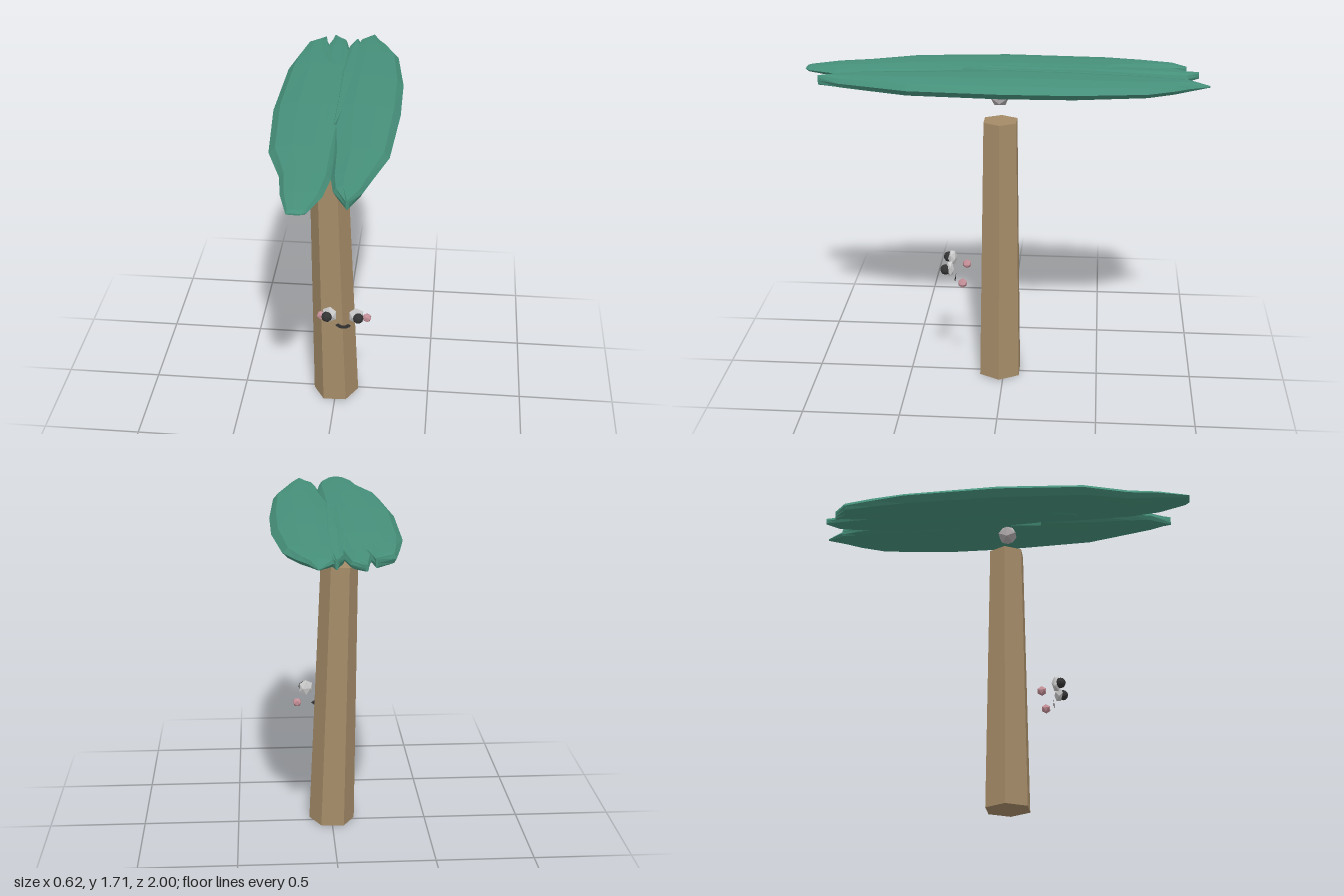
import * as THREE from 'three';

const mat = (color, side = THREE.FrontSide) =>
  new THREE.MeshStandardMaterial({ color, flatShading: true, side });

// Leaf lobe lofted through stations [z, xMin, xMax], front to back
function lobeGeometry(stations, lift = 0) {
  const sides = 10, pos = [], index = [];
  for (const [z, x0, x1] of stations) {
    const h = 0.004 + 0.046 * Math.sqrt(Math.max(0, 1 - z * z));
    for (let i = 0; i < sides; i++) {
      const a = (i / sides) * Math.PI * 2;
      const s = Math.sin(a);
      pos.push((x0 + x1) / 2 + Math.cos(a) * (x1 - x0) / 2,
        1.66 + lift + Math.sign(s) * Math.pow(Math.abs(s), 0.8) * h, z);
    }
  }
  const n = stations.length;
  for (let r = 0; r < n - 1; r++) {
    for (let i = 0; i < sides; i++) {
      const j = (i + 1) % sides, a = r * sides, b = a + sides;
      index.push(a + i, b + i, a + j, a + j, b + i, b + j);
    }
  }
  // End caps
  for (let i = 1; i < sides - 1; i++) {
    const e = (n - 1) * sides;
    index.push(0, i, i + 1, e, e + i + 1, e + i);
  }
  const g = new THREE.BufferGeometry();
  g.setAttribute('position', new THREE.Float32BufferAttribute(pos, 3));
  g.setIndex(index);
  g.computeVertexNormals();
  return g;
}

export function createModel() {
  const model = new THREE.Group();
  const add = (name, geometry, material, x = 0, y = 0, z = 0, parent = model) => {
    const m = new THREE.Mesh(geometry, material);
    m.name = name;
    m.position.set(x, y, z);
    parent.add(m);
    return m;
  };

  // Six-sided leaning trunk
  const trunkGeo = new THREE.CylinderGeometry(0.095, 0.12, 1.41, 6).rotateY(Math.PI / 2);
  add('trunk', trunkGeo, mat(0xa58b68), -0.02, 0.711, 0.02).rotation.z = 0.028;

  // Long flat canopy of overlapping lobes
  const canopy = new THREE.Group();
  canopy.name = 'canopy';
  model.add(canopy);
  const green = mat(0x46907a);
  const lobes = {
    leftLobe: [[1, -0.12, -0.05], [0.98, -0.125, -0.03], [0.84, -0.165, 0.02], [0.68, -0.19, 0.04],
      [0.45, -0.27, 0.045], [0, -0.31, 0.05], [-0.5, -0.3, 0.03], [-0.68, -0.268, -0.08],
      [-0.83, -0.238, -0.12], [-0.9, -0.15, -0.14]],
    rightLobe: [[0.9, 0.125, 0.14], [0.79, 0.06, 0.19], [0.68, 0.04, 0.22], [0.45, 0.02, 0.285],
      [0, -0.04, 0.31], [-0.35, -0.03, 0.305], [-0.7, 0, 0.26], [-0.83, 0.025, 0.2],
      [-0.9, 0.04, 0.155], [-1, 0.105, 0.115]],
    backLobe: [[0.4, -0.1, -0.03], [0, -0.17, 0.05], [-0.5, -0.16, 0.04], [-0.8, -0.135, -0.01],
      [-0.9, -0.115, -0.03], [-0.96, -0.105, -0.09]],
    smallBackLobe: [[0.2, 0, 0.02], [-0.4, -0.05, 0.09], [-0.8, -0.015, 0.07], [-0.9, 0.02, 0.035]],
  };
  for (const [name, stations] of Object.entries(lobes)) {
    add(name, lobeGeometry(stations, name.includes('ack') ? -0.006 : 0), green, 0, 0, 0, canopy);
  }

  // Ball between trunk and canopy
  add('ball', new THREE.IcosahedronGeometry(0.053), mat(0xb0aaac), 0, 1.555, 0.02).rotation.y = Math.PI / 2;

  // Face floating in front of the trunk
  const face = new THREE.Group();
  face.name = 'face';
  face.position.set(0.057, 0, 0);
  model.add(face);
  const white = mat(0xdddddd), dark = mat(0x333333), pink = mat(0xc48f98);
  for (const s of [-1, 1]) {
    const side = s > 0 ? 'left' : 'right';
    const eye = add(side + 'Eye', new THREE.IcosahedronGeometry(0.045).rotateY(Math.PI / 2),
      white, s * 0.068, 0.662, 0.27, face);
    eye.scale.set(0.92, 1, 0.5);
    eye.rotation.y = s * 0.2;
    add(side + 'Pupil', new THREE.IcosahedronGeometry(0.027, 1), dark, s * 0.08, 0.661, 0.292, face);
    add(side + 'Cheek', new THREE.IcosahedronGeometry(0.025), pink, s * 0.118, 0.605, 0.2, face);
  }

  // Flat smile
  const smile = new THREE.RingGeometry(0.03, 0.05, 8, 1, Math.PI * 1.2, Math.PI * 0.6);
  add('mouth', smile, mat(0x333333, THREE.DoubleSide), 0, 0.613, 0.25, face);

  return model;
}
